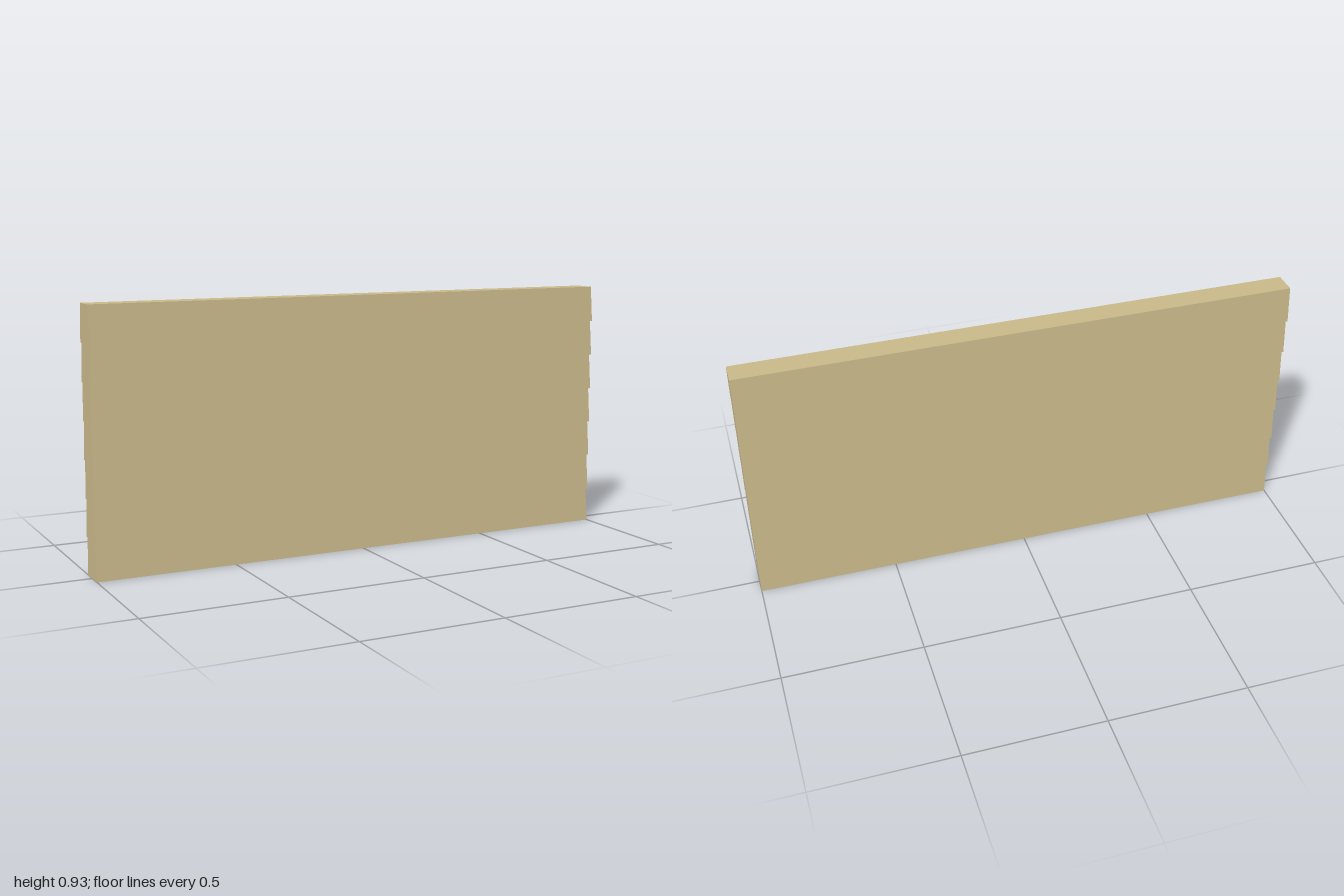
import * as THREE from 'three';

const BOARDS = 7;
const HEIGHT = 0.926;
const LENGTH = 2;
const HALF_BOTTOM = 0.055; // half thickness at the lower lip of a board
const HALF_TOP = 0.042; // half thickness at the upper edge of a board

export function createModel() {
  const group = new THREE.Group();
  group.name = 'clapboardWall';

  // Sawtooth profile of the lapped boards, up one side and mirrored down the other
  const pitch = HEIGHT / BOARDS;
  const side = [];
  for (let i = 0; i < BOARDS; i++) {
    side.push(new THREE.Vector2(HALF_BOTTOM, i * pitch));
    side.push(new THREE.Vector2(HALF_TOP, (i + 1) * pitch));
  }
  const mirrored = side.map((p) => new THREE.Vector2(-p.x, p.y)).reverse();
  const profile = new THREE.Shape([...side, ...mirrored]);

  // Run the profile along the length of the wall
  const geometry = new THREE.ExtrudeGeometry(profile, { depth: LENGTH, bevelEnabled: false });
  geometry.translate(0, 0, -LENGTH / 2);
  geometry.rotateY(Math.PI / 2);

  const wall = new THREE.Mesh(
    geometry,
    new THREE.MeshStandardMaterial({ color: 0xc8b88a })
  );
  wall.name = 'lappedBoards';
  group.add(wall);
  return group;
}
